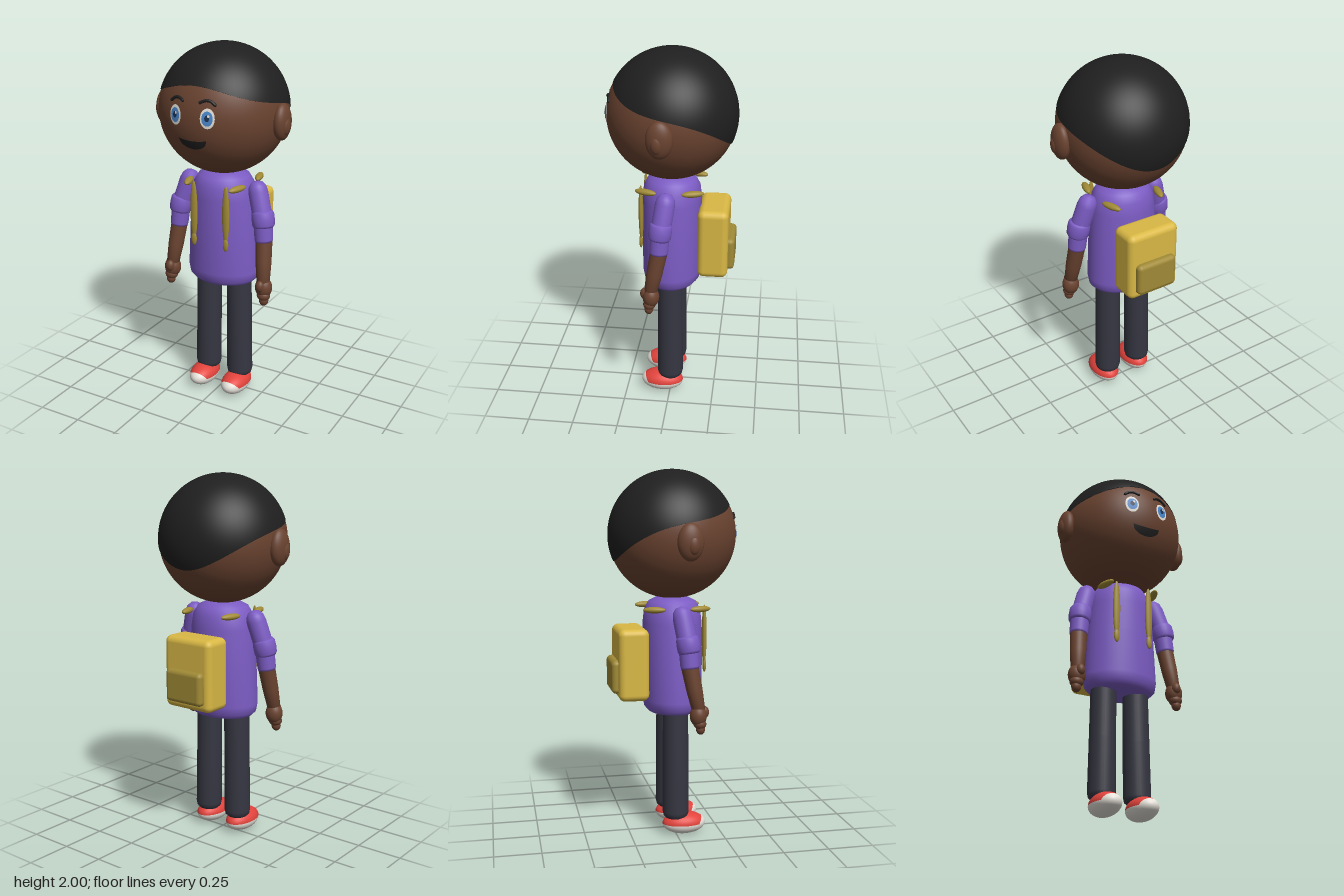
import * as THREE from 'three';
import { mergeVertices } from 'three/addons/utils/BufferGeometryUtils.js';
import { RoundedBoxGeometry } from 'three/addons/geometries/RoundedBoxGeometry.js';

const paint = (name, color) => {
  const m = new THREE.MeshStandardMaterial({ color });
  m.name = name;
  return m;
};
const V = (x, y, z) => new THREE.Vector3(x, y, z);
const HEAD_Y = 1.655, HEAD_R = 0.344;

// Point on the face, lifted a little off the head
const onFace = (x, y, lift) =>
  V(x, y, Math.sqrt(HEAD_R ** 2 - x * x - (y - HEAD_Y) ** 2) + lift);

// Thin patch wrapped on the face between a lower and an upper edge
function facePatch(cx, cy, halfWidth, upper, lower, lift) {
  const g = new THREE.PlaneGeometry(2, 1, 24, 8);
  const p = g.attributes.position;
  for (let i = 0; i < p.count; i++) {
    const u = p.getX(i), v = p.getY(i) + 0.5;
    const q = onFace(cx + u * halfWidth, cy + lower(u) + (upper(u) - lower(u)) * v, lift);
    p.setXYZ(i, q.x, q.y, q.z);
  }
  g.computeVertexNormals();
  return g;
}
const faceOval = (cx, cy, rx, ry, lift) => {
  const edge = u => ry * Math.sqrt(Math.max(0, 1 - u * u));
  return facePatch(cx, cy, rx, edge, u => -edge(u), lift);
};

// Hair cap: a sphere whose lower edge falls from the forehead to the nape
function hairCap() {
  const g = new THREE.SphereGeometry(1, 64, 32, 0, Math.PI * 2, 0, 1);
  const p = g.attributes.position, uv = g.attributes.uv, n = g.attributes.normal;
  for (let i = 0; i < p.count; i++) {
    const a = uv.getX(i) * Math.PI * 2 - Math.PI / 2, v = 1 - uv.getY(i);
    const limit = 82.75 - 22.75 * Math.cos(a) + 3.75 * Math.cos(2 * a) - 3.75 * Math.cos(3 * a);
    const t = THREE.MathUtils.degToRad(limit) * Math.min(1, v * 32 / 31);
    const d = V(Math.sin(t) * Math.sin(a), Math.cos(t), Math.sin(t) * Math.cos(a));
    n.setXYZ(i, d.x, d.y, d.z);
    d.multiplyScalar(v > 0.99 ? 0.335 : 0.348); // last row tucks in as the rim
    p.setXYZ(i, d.x, d.y, d.z);
  }
  return g;
}

// Shirt body: a lathe that widens sideways toward the hem
function shirtBody() {
  const profile = [[0, 0.68], [0.1, 0.682], [0.135, 0.692], [0.154, 0.715], [0.162, 0.76], [0.163, 1],
    [0.161, 1.18], [0.153, 1.25], [0.13, 1.295], [0.085, 1.318], [0, 1.325]];
  const g = new THREE.LatheGeometry(profile.map(q => new THREE.Vector2(...q)), 48);
  const p = g.attributes.position;
  for (let i = 0; i < p.count; i++)
    p.setX(i, p.getX(i) * THREE.MathUtils.mapLinear(p.getY(i), 0.7, 1.3, 1.3, 1.08));
  g.deleteAttribute('uv');
  g.deleteAttribute('normal');
  const merged = mergeVertices(g, 1e-5);
  merged.computeVertexNormals();
  return merged;
}

export function createModel() {
  const skin = paint('skin', 0x6a4330), hair = paint('hair', 0x1f1f1f), shirt = paint('shirt', 0x7c5cc4);
  const denim = paint('trousers', 0x363642), red = paint('shoeRed', 0xe2433c), white = paint('white', 0xe6e2da);
  const yellow = paint('packYellow', 0xd9b845), strap = paint('strap', 0xa08a36);
  const blue = paint('iris', 0x4a88cc), pupil = paint('pupil', 0x1d3150);

  const model = new THREE.Group();
  model.name = 'childWithBackpack';
  const add = (name, geo, mat, pos) => {
    const m = new THREE.Mesh(geo, mat);
    m.name = name;
    if (pos) m.position.copy(pos);
    model.add(m);
    return m;
  };
  const ball = (name, mat, pos, r) => {
    const m = add(name, new THREE.SphereGeometry(1, 32, 20), mat, pos);
    m.scale.set(...r);
    return m;
  };
  // Turned profile of [radius, share of length] standing from a to b
  const limb = (name, mat, a, b, profile) => {
    const dir = b.clone().sub(a), len = dir.length();
    const pts = profile.map(([r, t]) => new THREE.Vector2(r, t * len));
    const m = add(name, new THREE.LatheGeometry(pts, 28), mat, a);
    m.quaternion.setFromUnitVectors(V(0, 1, 0), dir.normalize());
    return m;
  };

  // Head, hair and mouth
  add('head', new THREE.SphereGeometry(HEAD_R, 64, 48), skin, V(0, HEAD_Y, 0));
  add('hair', hairCap(), hair, V(0, 2 - 0.348, 0));
  add('mouth', facePatch(0, 1.56, 0.08, u => -0.008 * (1 - u * u),
    u => -0.054 * Math.sqrt(Math.max(0, 1 - u * u)), 0.003), hair);

  // Torso
  add('shirtBody', shirtBody(), shirt);

  // Backpack
  add('backpack', new RoundedBoxGeometry(0.31, 0.39, 0.165, 5, 0.035), yellow, V(0, 0.965, -0.2325));
  add('backpackPocket', new RoundedBoxGeometry(0.24, 0.18, 0.07, 4, 0.025), strap, V(0, 0.9, -0.315));

  for (const s of [1, -1]) {
    const side = s > 0 ? 'left' : 'right';
    const P = (x, y, z) => V(s * x, y, z);

    // Face details
    add(side + 'EyeWhite', faceOval(s * 0.092, 1.677, 0.037, 0.051, 0.003), white);
    add(side + 'Iris', faceOval(s * 0.092, 1.677, 0.028, 0.037, 0.005), blue);
    add(side + 'Pupil', faceOval(s * 0.092, 1.679, 0.012, 0.016, 0.007), pupil);
    add(side + 'EyeGlint', faceOval(s * 0.092 + 0.008, 1.691, 0.006, 0.007, 0.009), white);
    add(side + 'Cheek', faceOval(s * 0.17, 1.587, 0.036, 0.026, 0.0015), skin);
    const brow = [[0.05, 1.753], [0.075, 1.764], [0.1, 1.762], [0.124, 1.745]];
    const curve = new THREE.CatmullRomCurve3(brow.map(([x, y]) => onFace(s * x, y, 0.002)));
    add(side + 'Brow', new THREE.TubeGeometry(curve, 16, 0.008, 10), hair);
    for (const end of [brow[0], brow[3]])
      ball(side + 'BrowEnd', hair, onFace(s * end[0], end[1], 0.002), [0.008, 0.008, 0.008]);

    // Ear
    ball(side + 'Ear', skin, P(0.35, 1.627, 0.025), [0.043, 0.097, 0.069]);
    ball(side + 'EarInner', skin, P(0.372, 1.612, 0.035), [0.027, 0.052, 0.034]);

    // Sleeve, rolled cuff and forearm
    const shoulder = P(0.197, 1.285, 0.005), elbow = P(0.255, 1.085, 0.034);
    const sleeveEnd = P(0.267, 0.965, 0.042), wrist = P(0.288, 0.74, 0.085);
    limb(side + 'UpperSleeve', shirt, elbow, shoulder,
      [[0, -0.1], [0.05, -0.05], [0.053, 0.2], [0.053, 0.7], [0.047, 0.85], [0.03, 0.96], [0, 1]]);
    limb(side + 'LowerSleeve', shirt, sleeveEnd, elbow, [[0, 0], [0.047, 0], [0.05, 0.1], [0.052, 1]]);
    limb(side + 'Cuff', shirt, P(0.263, 1.043, 0.04), P(0.25, 1.133, 0.029),
      [[0.04, 0], [0.053, 0.02], [0.06, 0.15], [0.062, 0.5], [0.06, 0.85], [0.053, 0.98], [0.04, 1]]);
    limb(side + 'Forearm', skin, wrist, sleeveEnd, [[0, -0.1], [0.035, 0], [0.043, 0.5], [0.046, 1.05]]);

    // Hand
    ball(side + 'Palm', skin, P(0.29, 0.715, 0.082), [0.047, 0.058, 0.045]);
    ball(side + 'Thumb', skin, P(0.285, 0.732, 0.115), [0.024, 0.033, 0.026]);
    ball(side + 'Fingers', skin, P(0.294, 0.672, 0.09), [0.037, 0.03, 0.034]);
    ball(side + 'Fingertips', skin, P(0.297, 0.644, 0.093), [0.026, 0.03, 0.024]);

    // Leg
    limb(side + 'Leg', denim, P(0.103, 0.095, 0), P(0.095, 0.74, 0),
      [[0, 0], [0.055, 0.005], [0.068, 0.025], [0.073, 0.06], [0.071, 0.5], [0.069, 1]]);

    // Shoe: red upper, white sole and toe cap
    const shoePos = P(0.105, 0.064, 0.045), shoeSize = [0.075, 0.061, 0.119];
    const half = start => new THREE.SphereGeometry(1, 36, 14, 0, Math.PI * 2, start, Math.PI / 2);
    add(side + 'ShoeUpper', half(0), red, shoePos).scale.set(...shoeSize);
    add(side + 'ShoeSole', half(Math.PI / 2), white, shoePos).scale.set(...shoeSize);
    const cap = new THREE.SphereGeometry(1.012, 36, 14, 0, Math.PI * 2, 0, 0.92).rotateX(Math.PI / 2 + 0.3);
    add(side + 'ToeCap', cap, white, shoePos).scale.set(...shoeSize);

    // Backpack straps
    ball(side + 'ChestStrap', strap, P(0.098, 1.115, 0.158), [0.021, 0.165, 0.013]);
    ball(side + 'StrapEnd', strap, P(0.098, 0.95, 0.16), [0.016, 0.038, 0.01]);
    for (const f of [1, -1])
      ball(side + (f > 0 ? 'FrontShoulderStrap' : 'BackShoulderStrap'), strap,
        P(0.148, 1.263, f * 0.125), [0.021, 0.017, 0.061]).rotation.y = -s * f * 0.3;
  }
  return model;
}
